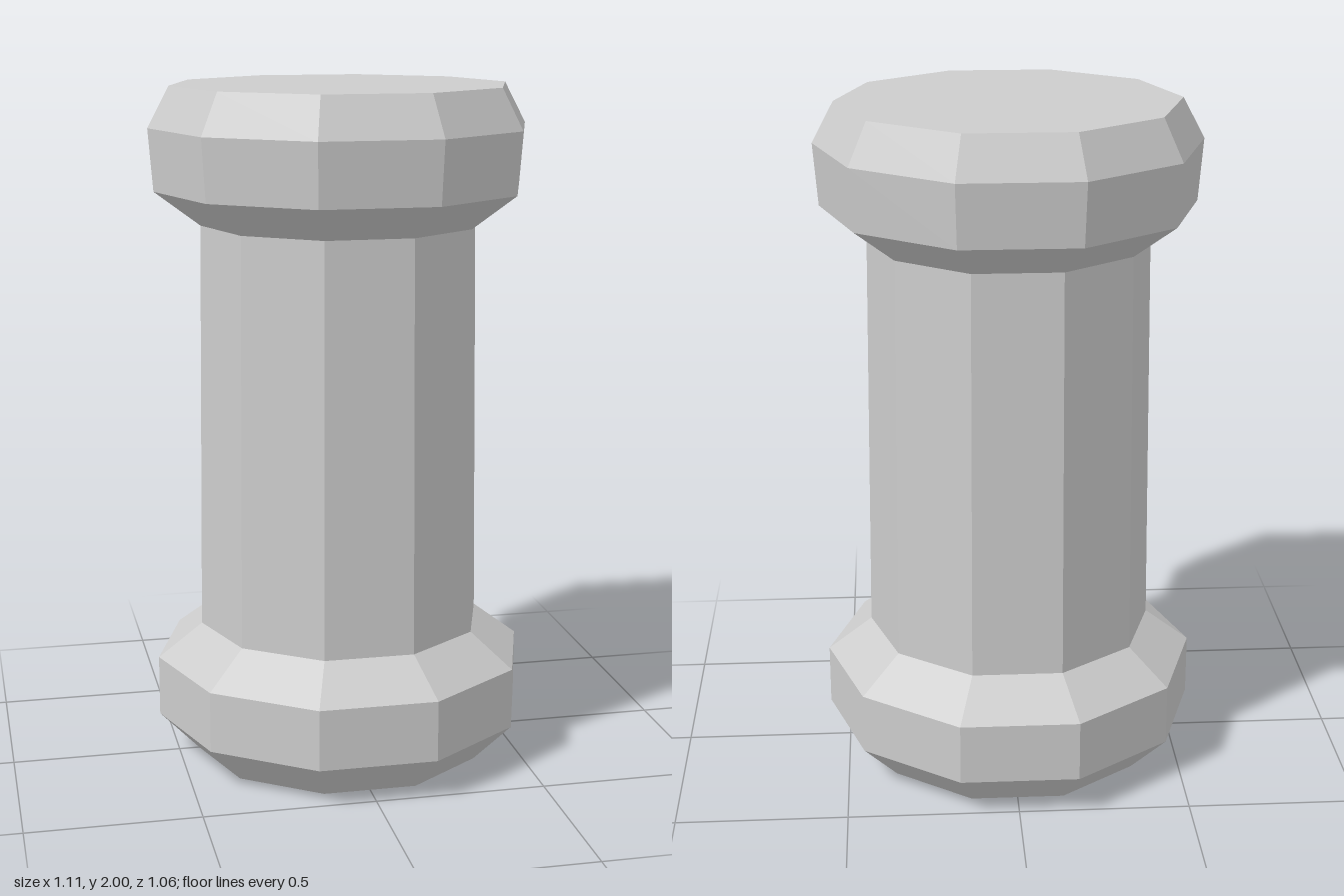
import * as THREE from 'three';

const SIDES = 10;

export function createModel() {
  const group = new THREE.Group();
  const grey = new THREE.MeshStandardMaterial({ color: 0xcccccc, flatShading: true });
  grey.name = 'lightGrey';

  // Ten-sided turned section, with corners on the x axis
  function turned(name, profile) {
    const points = profile.map(([r, y]) => new THREE.Vector2(r, y));
    const mesh = new THREE.Mesh(new THREE.LatheGeometry(points, SIDES, Math.PI / 2), grey);
    mesh.name = name;
    group.add(mesh);
  }

  // Foot, tapering body and bevelled cap share their rims
  turned('base', [[0, 0], [0.44, 0], [0.557, 0.12], [0.557, 0.3], [0.425, 0.4]]);
  turned('body', [[0.425, 0.4], [0.41, 1.6]]);
  turned('cap', [[0.41, 1.6], [0.543, 1.7], [0.557, 1.88], [0.494, 1.998], [0, 1.998]]);

  // Pouring holes: one in the middle and a ring of seven
  const holes = new THREE.Group();
  holes.name = 'pouringHoles';
  group.add(holes);
  const holeGeometry = new THREE.CircleGeometry(0.031, 5, Math.PI).rotateX(-Math.PI / 2);
  function hole(x, z) {
    const mesh = new THREE.Mesh(holeGeometry, grey);
    mesh.name = 'pouringHole';
    mesh.position.set(x, 2, z);
    holes.add(mesh);
  }
  hole(0, 0);
  for (let i = 0; i < 7; i++) {
    const a = Math.PI + (i / 7) * Math.PI * 2;
    hole(0.28 * Math.cos(a), 0.28 * Math.sin(a));
  }

  return group;
}
